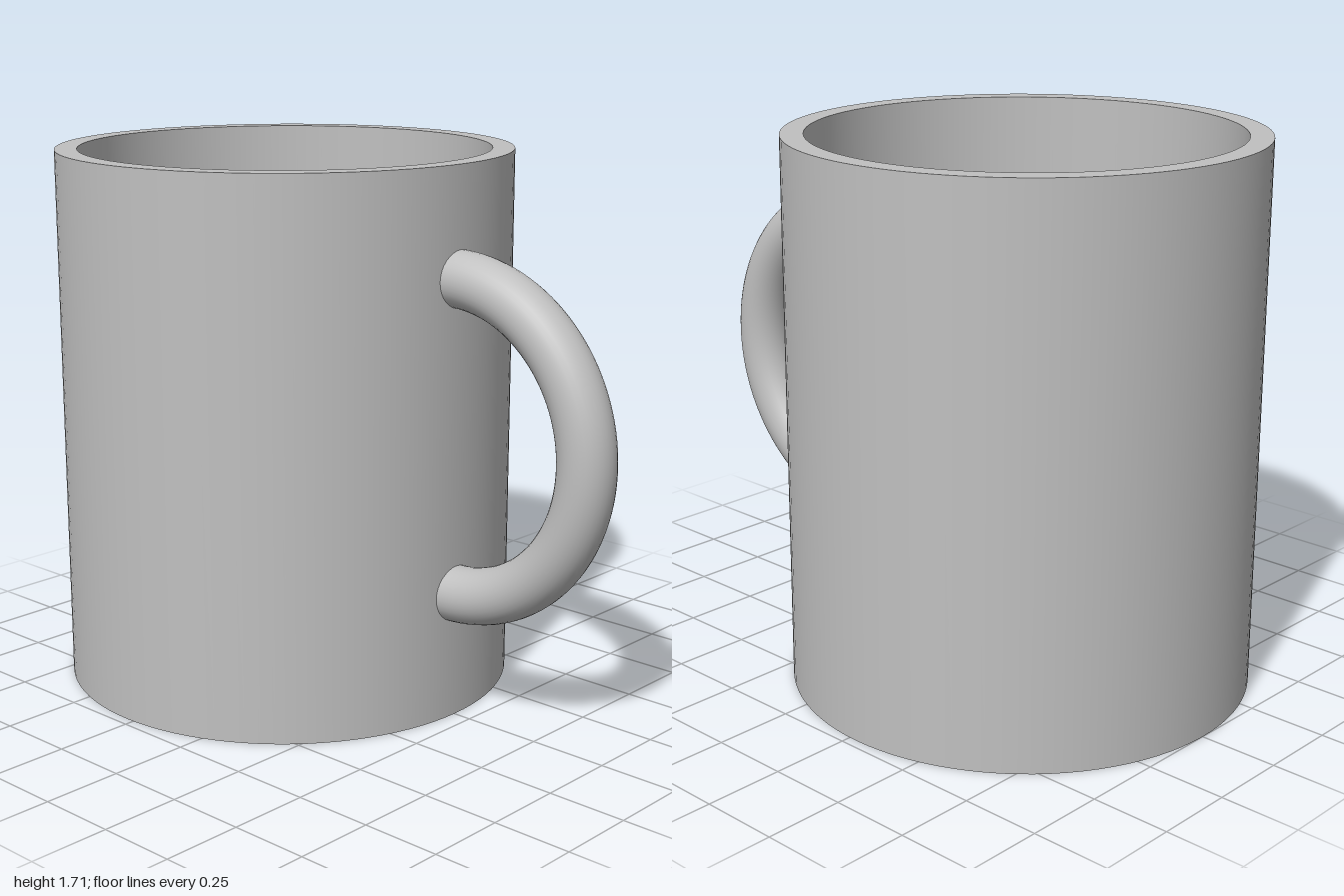
import * as THREE from 'three';
import { mergeGeometries } from 'three/addons/utils/BufferGeometryUtils.js';

const OUTER = 0.72, INNER = 0.65, HEIGHT = 1.71, FLOOR = 0.07;

// Revolves each profile segment on its own so the rims stay sharp
function sharpLathe(profile, segments) {
  const parts = [];
  for (let i = 0; i < profile.length - 1; i++) {
    const pair = [profile[i], profile[i + 1]].map(([x, y]) => new THREE.Vector2(x, y));
    parts.push(new THREE.LatheGeometry(pair, segments));
  }
  return mergeGeometries(parts);
}

export function createModel() {
  const group = new THREE.Group();
  group.name = 'mug';
  const ceramic = new THREE.MeshStandardMaterial({ color: 0xc0c0c0 });
  ceramic.name = 'grey ceramic';

  // Hollow cup: underside, outer wall, rim, inner wall, inside floor
  const cup = new THREE.Mesh(sharpLathe([
    [0, 0], [OUTER, 0], [OUTER, HEIGHT], [INNER, HEIGHT], [INNER, FLOOR], [0, FLOOR],
  ], 96), ceramic);
  cup.name = 'cup';
  cup.position.x = -0.28;
  group.add(cup);

  // Half-ring handle whose ends are buried in the cup wall
  const ring = new THREE.TorusGeometry(0.4875, 0.0875, 32, 64, Math.PI);
  ring.rotateZ(-Math.PI / 2);
  const handle = new THREE.Mesh(ring, ceramic);
  handle.name = 'handle';
  handle.position.set(0.425, 0.885, 0);
  group.add(handle);

  return group;
}
